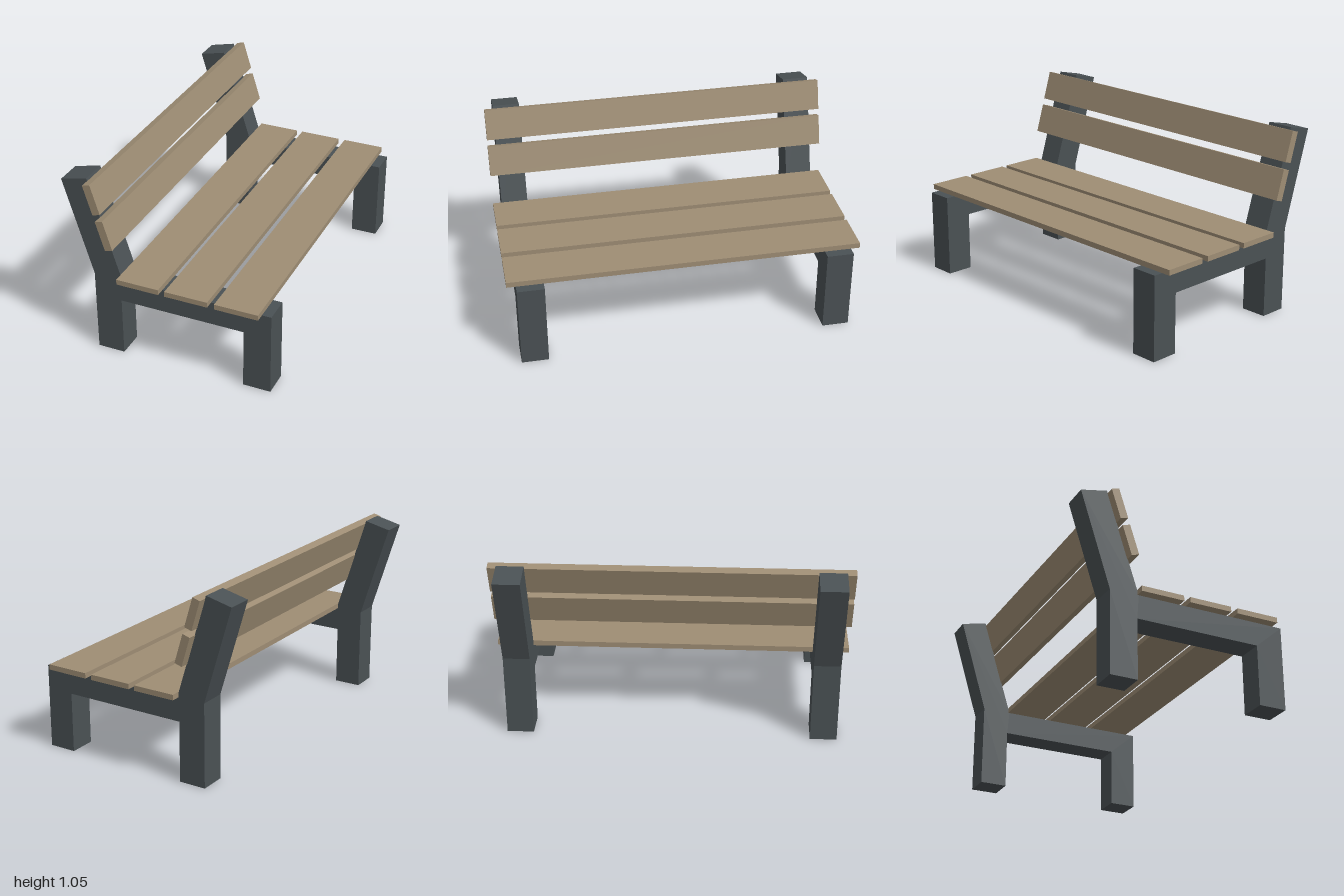
import * as THREE from 'three';

export function createModel() {
  const bench = new THREE.Group();
  bench.name = 'bench';
  const frameMat = new THREE.MeshStandardMaterial({ color: 0x4a5154, flatShading: true });
  const woodMat = new THREE.MeshStandardMaterial({ color: 0x9e8d74, flatShading: true });

  // Side frames: legs, seat rail and raked back post in one outline
  const outline = [
    [-0.43, 0], [-0.275, 0], [-0.275, 0.34], [0.435, 0.34], [0.435, 0], [0.59, 0],
    [0.59, 0.475], [-0.265, 0.475], [-0.445, 1.05], [-0.595, 1.015], [-0.43, 0.475],
  ];
  const shape = new THREE.Shape(outline.map(([x, y]) => new THREE.Vector2(x, y)));
  const depth = 0.15;
  const frameGeo = new THREE.ExtrudeGeometry(shape, { depth, bevelEnabled: false });
  frameGeo.translate(0, 0, -depth / 2);
  for (const side of [-1, 1]) {
    const frame = new THREE.Mesh(frameGeo, frameMat);
    frame.name = side > 0 ? 'frontSideFrame' : 'rearSideFrame';
    frame.position.z = side * 0.857;
    bench.add(frame);
  }

  // Planks run along z across both frames
  const addPlank = (name, width, height, x, y, tilt = 0) => {
    const plank = new THREE.Mesh(new THREE.BoxGeometry(width, height, 1.965), woodMat);
    plank.name = name;
    plank.position.set(x, y, 0);
    plank.rotation.z = tilt;
    bench.add(plank);
  };
  [-0.15, 0.131, 0.415].forEach((x, i) => addPlank(`seatPlank${i + 1}`, 0.245, 0.03, x, 0.49));
  addPlank('lowerBackPlank', 0.045, 0.172, -0.333, 0.757, 0.3);
  addPlank('upperBackPlank', 0.045, 0.172, -0.395, 0.959, 0.3);

  // The whole bench stands at a slight turn
  bench.rotation.y = 0.027;
  const model = new THREE.Group();
  model.add(bench);
  return model;
}
